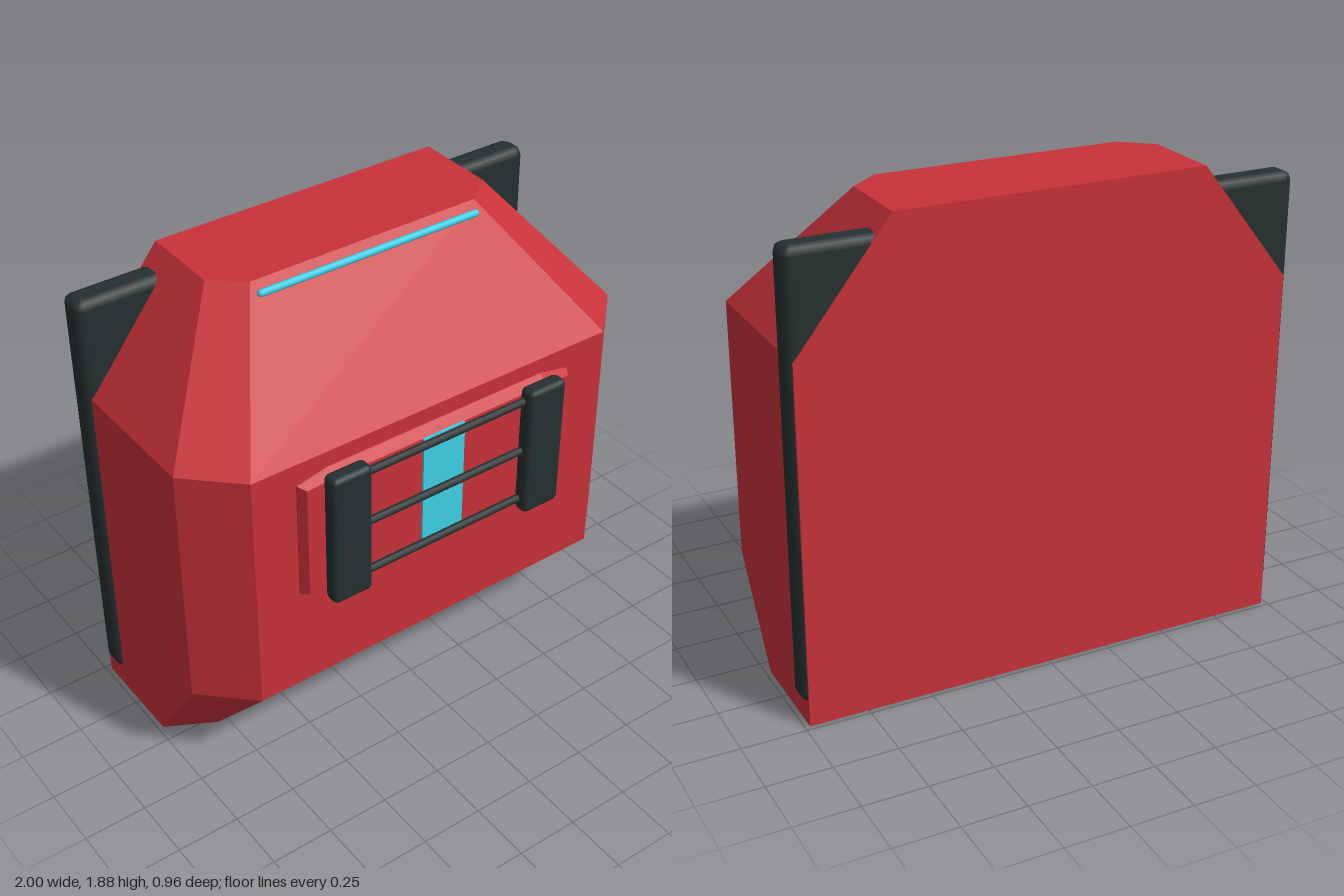
import * as THREE from 'three';
import { RoundedBoxGeometry } from 'three/addons/geometries/RoundedBoxGeometry.js';

const red = new THREE.MeshStandardMaterial({ color: 0xc8323a });
red.name = 'redShell';
const dark = new THREE.MeshStandardMaterial({ color: 0x263030 });
dark.name = 'darkTrim';
const cyan = new THREE.MeshStandardMaterial({ color: 0x3ed2ea });
cyan.name = 'cyanLight';

// Faceted solid skinned over matching outlines, with both ends capped;
// each four-sided face is shaded with one normal
function loft(rings) {
  const pos = [], nor = [];
  const face = (pts) => {
    const [a, b, c, d] = pts.map((p) => new THREE.Vector3(...p));
    const normal = c.clone().sub(a).cross(d.clone().sub(b)).normalize();
    for (let i = 1; i < pts.length - 1; i++) {
      pos.push(...pts[0], ...pts[i], ...pts[i + 1]);
      for (let k = 0; k < 3; k++) nor.push(normal.x, normal.y, normal.z);
    }
  };
  const n = rings[0].length;
  for (let r = 0; r < rings.length - 1; r++) {
    for (let i = 0; i < n; i++) {
      const j = (i + 1) % n;
      face([rings[r][i], rings[r][j], rings[r + 1][j], rings[r + 1][i]]);
    }
  }
  face([...rings[0]].reverse());
  face(rings[rings.length - 1]);
  const geo = new THREE.BufferGeometry();
  geo.setAttribute('position', new THREE.Float32BufferAttribute(pos, 3));
  geo.setAttribute('normal', new THREE.Float32BufferAttribute(nor, 3));
  return geo;
}

export function createModel() {
  const model = new THREE.Group();
  model.name = 'backpack';
  const add = (name, geo, mat, x = 0, y = 0, z = 0) => {
    const mesh = new THREE.Mesh(geo, mat);
    mesh.name = name;
    mesh.position.set(x, y, z);
    model.add(mesh);
    return mesh;
  };

  // Shell: flat back, chamfered front corners, sloped top and bottom
  const back = -0.48;
  const section = (y, w, zs, wf, zf) => [
    [w, y, zs], [w, y, back], [-w, y, back], [-w, y, zs], [-wf, y, zf], [wf, y, zf],
  ];
  add('shell', loft([
    section(0, 0.98, -0.07, 0.79, 0.035),
    section(0.395, 0.98, 0.195, 0.79, 0.38),
    section(1.41, 0.98, 0.195, 0.79, 0.38),
    section(1.88, 0.61, -0.15, 0.49, -0.05),
  ]), red);

  // Dark panel set into the back, showing at the sides and top corners
  add('backPanel', new RoundedBoxGeometry(2, 1.72, 0.118, 1, 0.035), dark, 0, 0.95, -0.42);

  // Raised front plate with bevelled edges
  const outline = (z, w, h, wi, hi) => [
    [w, -h, z], [w, h, z], [wi, hi, z], [-wi, hi, z],
    [-w, h, z], [-w, -h, z], [-wi, -hi, z], [wi, -hi, z],
  ];
  add('frontPlate', loft([
    outline(0.37, 0.61, 0.245, 0.48, 0.272),
    outline(0.385, 0.61, 0.245, 0.48, 0.272),
    outline(0.418, 0.59, 0.235, 0.48, 0.24),
  ]), red, 0, 1.077, 0);

  // Glowing stripe on the plate
  add('plateStripe', new THREE.BoxGeometry(0.185, 0.484, 0.009), cyan, 0, 1.077, 0.422);

  // Two upright pads joined by three rods
  for (const side of [-1, 1]) {
    add(side > 0 ? 'leftPad' : 'rightPad',
      new RoundedBoxGeometry(0.17, 0.56, 0.068, 1, 0.02), dark, side * 0.44, 1.077, 0.449);
  }
  for (const y of [0.851, 1.076, 1.301]) {
    add('rod', new THREE.CylinderGeometry(0.016, 0.016, 0.74, 12), dark, 0, y, 0.437)
      .rotation.z = Math.PI / 2;
  }

  // Light strip along the top slope
  add('topLight', new THREE.CapsuleGeometry(0.014, 0.94, 4, 10), cyan, 0, 1.845, -0.013)
    .rotation.z = Math.PI / 2;

  return model;
}
